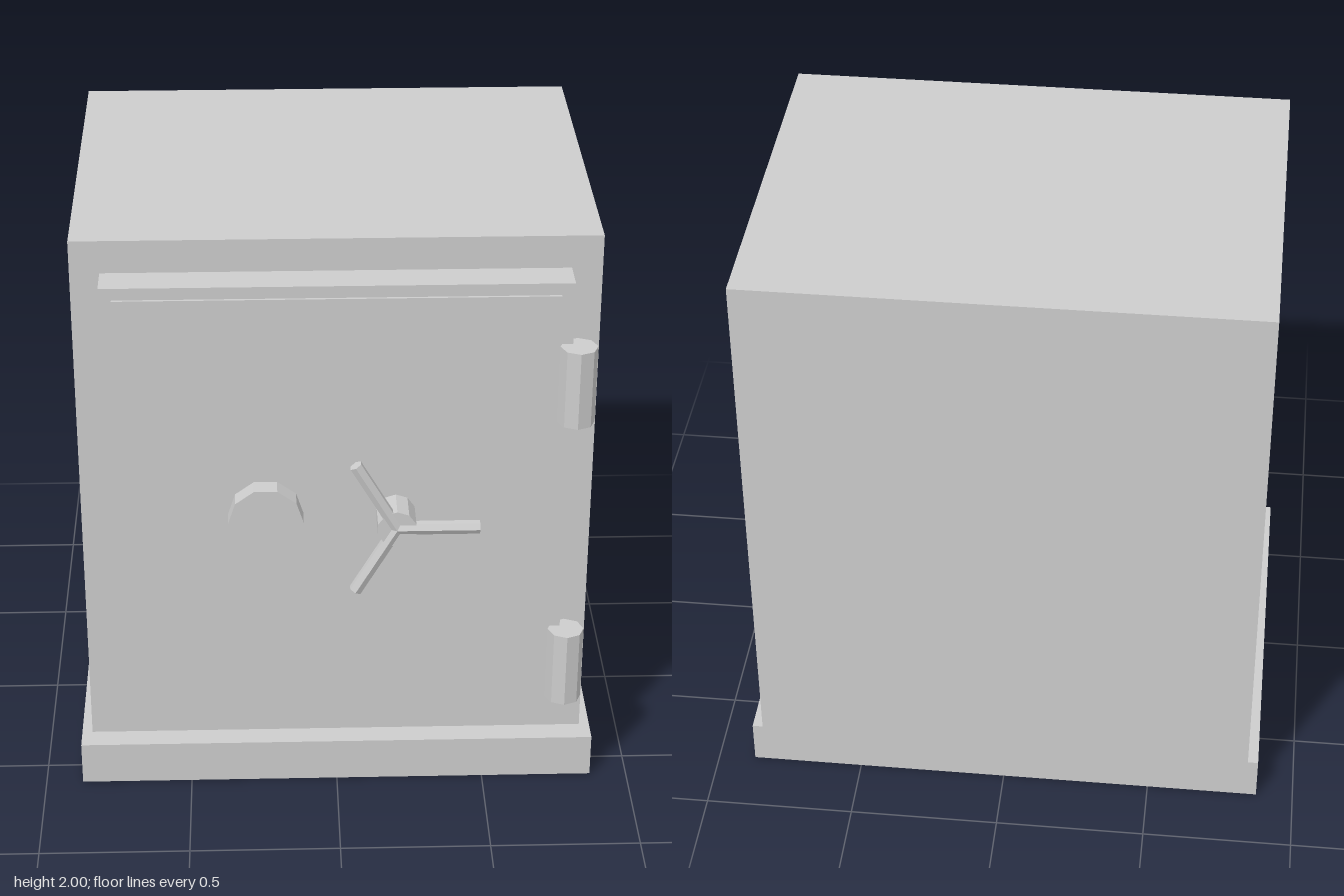
import * as THREE from 'three';

export function createModel() {
  const safe = new THREE.Group();
  safe.name = 'safe';
  const steel = new THREE.MeshStandardMaterial({ color: 0xcccccc });
  steel.name = 'grey steel';

  const add = (name, geometry, parent = safe) => {
    const mesh = new THREE.Mesh(geometry, steel);
    mesh.name = name;
    parent.add(mesh);
    return mesh;
  };

  // Box given by its limits on each axis
  const block = (name, [x0, x1], [y0, y1], [z0, z1]) =>
    add(name, new THREE.BoxGeometry(x1 - x0, y1 - y0, z1 - z0))
      .position.set((x0 + x1) / 2, (y0 + y1) / 2, (z0 + z1) / 2);

  // Faceted cylinder with hard edges between its sides
  const prism = (radius, length, sides) => {
    const g = new THREE.CylinderGeometry(radius, radius, length, sides).toNonIndexed();
    g.computeVertexNormals();
    return g;
  };

  // Cabinet, plinth and door
  block('plinth', [-0.875, 0.875], [0, 0.152], [-0.775, 0.6]);
  block('cabinet', [-0.84, 0.84], [0.152, 2], [-0.775, 0.52]);
  block('door', [-0.745, 0.742], [0.27, 1.89], [0.52, 0.636]);
  block('doorPanel', [-0.705, 0.7], [0.307, 1.85], [0.636, 0.645]);

  // Upright hinge barrels
  for (const y of [0.498, 1.547]) {
    add('hinge', prism(0.06, 0.266, 8)).position.set(0.76, y, 0.655);
  }

  // Combination dial
  const dial = add('dial', prism(0.122, 0.07, 10).rotateY(Math.PI / 2).rotateX(Math.PI / 2));
  dial.position.set(-0.233, 1.085, 0.675);

  // Three-spoke handle on a hub
  const handle = new THREE.Group();
  handle.name = 'handle';
  handle.position.set(0.188, 1.083, 0.748);
  safe.add(handle);
  add('hub', prism(0.065, 0.12, 10).rotateX(Math.PI / 2), handle).position.z = -0.047;
  for (let i = 0; i < 3; i++) {
    const spoke = prism(0.022, 0.267, 6).translate(0, 0.1335, 0);
    add('spoke', spoke, handle).rotation.z = -Math.PI / 2 + (i * 2 * Math.PI) / 3;
  }

  return safe;
}
